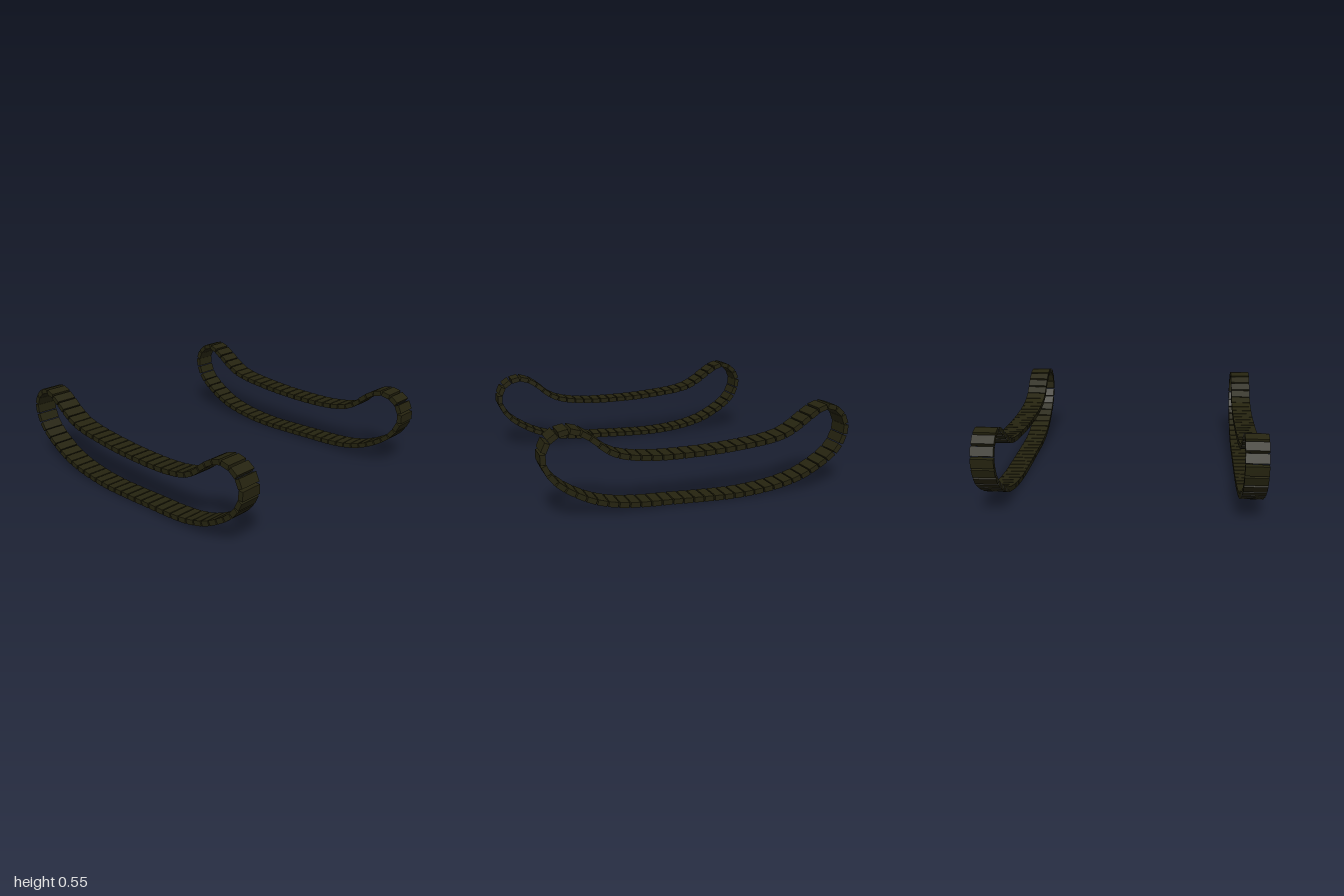
import * as THREE from 'three';

// Centre line of the track loop as [z, y]
const LOOP = [
  [0, 0.022], [0.2, 0.03], [0.4, 0.038], [0.55, 0.055], [0.68, 0.09], [0.8, 0.148],
  [0.9, 0.22], [0.955, 0.29], [0.983, 0.37], [0.965, 0.445], [0.93, 0.488], [0.88, 0.514],
  [0.82, 0.522], [0.75, 0.5], [0.68, 0.452], [0.62, 0.4], [0.55, 0.36], [0.45, 0.333],
  [0.3, 0.316], [0.1, 0.312], [-0.1, 0.317], [-0.3, 0.332], [-0.45, 0.35], [-0.55, 0.375],
  [-0.63, 0.415], [-0.72, 0.476], [-0.8, 0.522], [-0.86, 0.532], [-0.92, 0.505],
  [-0.965, 0.452], [-0.983, 0.385], [-0.965, 0.31], [-0.93, 0.25], [-0.87, 0.195],
  [-0.78, 0.138], [-0.68, 0.09], [-0.55, 0.053], [-0.4, 0.03], [-0.22, 0.018],
];
const LINKS = 66, WIDTH = 0.14, THICKNESS = 0.033, GAP = 0.009, TRACK_X = 0.8;

export function createModel() {
  const model = new THREE.Group();
  model.name = 'trackPair';

  const trackMaterial = new THREE.MeshStandardMaterial({ color: 0x25230f });
  trackMaterial.name = 'dark olive';

  const curve = new THREE.CatmullRomCurve3(
    LOOP.map(([z, y]) => new THREE.Vector3(0, y, z)), true);
  curve.arcLengthDivisions = 1000;
  const linkLength = curve.getLength() / LINKS - GAP;
  const linkGeometry = new THREE.BoxGeometry(WIDTH, THICKNESS, linkLength);

  // One loop of separate flat plates on each side
  for (const side of [1, -1]) {
    const track = new THREE.Group();
    track.name = side > 0 ? 'leftTrack' : 'rightTrack';
    track.position.x = side * TRACK_X;
    for (let i = 0; i < LINKS; i++) {
      const u = (i + 0.5) / LINKS;
      const tangent = curve.getTangentAt(u);
      const link = new THREE.Mesh(linkGeometry, trackMaterial);
      link.name = 'trackLink';
      link.position.copy(curve.getPointAt(u));
      link.rotation.x = Math.atan2(-tangent.y, tangent.z);
      track.add(link);
    }
    model.add(track);
  }
  return model;
}
